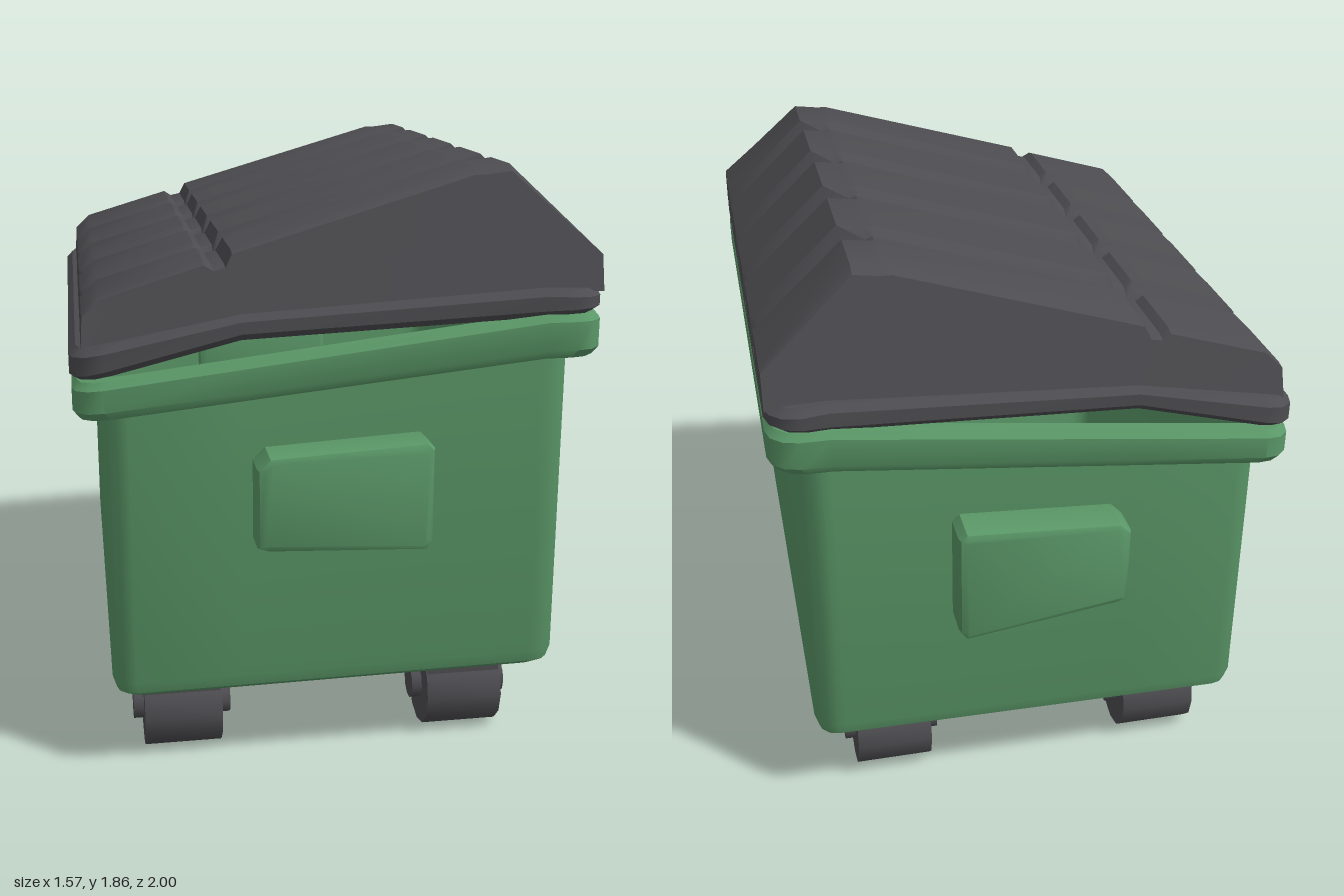
import * as THREE from 'three';
import { toCreasedNormals } from 'three/addons/utils/BufferGeometryUtils.js';

const green = new THREE.MeshStandardMaterial({ color: 0x5a9767, side: THREE.DoubleSide });
green.name = 'green paint';
const charcoal = new THREE.MeshStandardMaterial({ color: 0x4d4c50, side: THREE.DoubleSide });
charcoal.name = 'charcoal plastic';

function add(parent, name, geometry, material, x = 0, y = 0, z = 0) {
  const mesh = new THREE.Mesh(geometry, material);
  mesh.name = name;
  mesh.position.set(x, y, z);
  parent.add(mesh);
  return mesh;
}

// Piecewise linear height along x
function along(points) {
  return x => {
    let i = 1;
    while (i < points.length - 1 && x > points[i][0]) i++;
    const [ax, ay] = points[i - 1], [bx, by] = points[i];
    return ay + (by - ay) * THREE.MathUtils.clamp((x - ax) / (bx - ax), 0, 1);
  };
}

// Skin joining successive rows of [x, y, z] points
function loft(rows, closed, crease = 0.6) {
  const n = rows[0].length, index = [];
  for (let j = 0; j < rows.length - 1; j++) {
    for (let i = 0; i < (closed ? n : n - 1); i++) {
      const k = (i + 1) % n;
      const a = j * n + i, b = j * n + k, c = a + n, d = b + n;
      index.push(a, c, b, b, c, d);
    }
  }
  const g = new THREE.BufferGeometry();
  g.setAttribute('position', new THREE.Float32BufferAttribute(rows.flat(2), 3));
  g.setIndex(index);
  return toCreasedNormals(g, crease);
}

// Rounded rectangle in plan, with extra points where the long sides bend
function plan(x0, x1, hz, r) {
  const pts = [], bends = [-0.3, 0.6];
  const corner = (cx, cz, start) => {
    for (let i = 0; i <= 3; i++) {
      const a = start + i * Math.PI / 6;
      pts.push([cx + r * Math.cos(a), cz + r * Math.sin(a)]);
    }
  };
  corner(x1 - r, hz - r, 0);
  [...bends].reverse().forEach(x => pts.push([x, hz]));
  corner(x0 + r, hz - r, Math.PI / 2);
  corner(x0 + r, r - hz, Math.PI);
  bends.forEach(x => pts.push([x, -hz]));
  corner(x1 - r, r - hz, Math.PI * 1.5);
  return pts;
}

const rimTop = along([[-0.78, 1.27], [0.6, 1.43], [0.78, 1.43]]);
const rimBottom = along([[-0.78, 1.16], [0.6, 1.3], [0.78, 1.3]]);
const lidTop = along([[-0.79, 1.365], [-0.3, 1.455], [0.6, 1.505], [0.78, 1.5]]);
const lidBottom = along([[-0.79, 1.27], [-0.3, 1.38], [0.78, 1.43]]);

function buildBody(group) {
  const ring = (inset, r, height) =>
    plan(-0.7 + inset, 0.695 - inset, 0.88 - inset, r).map(([x, z]) => [x, height(x), z]);
  const floor = x => 0.27 + 0.012 * x;
  const bottom = ring(0.04, 0.05, floor);
  add(group, 'body', loft([
    bottom.map(() => [0, 0.27, 0]), bottom,
    ring(0.012, 0.06, x => floor(x) + 0.02),
    ring(0, 0.07, x => floor(x) + 0.06),
    ring(0, 0.07, x => rimBottom(x) + 0.05),
  ], true), green);

  // Overhanging rim
  const lip = (inset, height) =>
    plan(-0.785 + inset, 0.78 - inset, 0.94 - inset, 0.09).map(([x, z]) => [x, height(x), z]);
  add(group, 'rim', loft([
    lip(0.08, rimBottom), lip(0.015, rimBottom), lip(0, x => rimBottom(x) + 0.025),
    lip(0, x => rimTop(x) - 0.02), lip(0.015, rimTop), lip(0.06, rimTop),
    lip(0.075, x => rimTop(x) - 0.06),
  ], true), green);
}

function buildLid(group) {
  const lid = new THREE.Group();
  lid.name = 'lid';
  group.add(lid);

  // Edge band, drawn in slightly along the sides
  const pinch = along([[-0.72, 1], [-0.3, 0.965], [0.6, 0.985], [0.7, 1]]);
  const edge = (inset, height) =>
    plan(-0.79 + inset, 0.78 - inset, 0.94 - inset, 0.1).map(([x, z]) => [x, height(x), z * pinch(x)]);
  add(lid, 'lidEdge', loft([
    edge(0.02, lidBottom), edge(0, x => lidBottom(x) + 0.02), edge(0, x => lidTop(x) - 0.02),
    edge(0.02, lidTop), edge(0.08, lidTop),
  ], true), charcoal);

  // Ribbed shell: side profiles on a rib and in a groove
  const rib = [[-0.755, 1.37], [-0.75, 1.46], [-0.7, 1.51], [-0.4, 1.6], [-0.375, 1.583],
    [-0.34, 1.59], [-0.32, 1.63], [0.4, 1.845], [0.43, 1.845], [0.51, 1.855], [0.78, 1.6], [0.78, 1.49]];
  const groove = [[-0.74, 1.37], [-0.72, 1.44], [-0.685, 1.475], [-0.4, 1.565], [-0.375, 1.56],
    [-0.34, 1.57], [-0.32, 1.595], [0.39, 1.82], [0.41, 1.825], [0.43, 1.815], [0.73, 1.54], [0.745, 1.49]];
  const rows = [];
  const end = (f, back, side) => rows.push(rib.map(([x, y]) => {
    const base = lidTop(x) - 0.01;
    const h = Math.max(0, y - base) * f;
    return [x * (1 - 0.03 * (1 - f)), base + h, side * (0.89 - 0.25 * h - back)];
  }));
  const row = (profile, z) => rows.push(profile.map(([x, y]) => [x, y, z]));

  [[0, 0], [0.5, 0], [0.95, 0], [1, 0.03]].forEach(([f, back]) => end(f, back, -1));
  for (let i = -2; i <= 2; i++) {
    const c = i * 0.352;
    if (i > -2) row(rib, c - 0.118);
    if (i < 2) {
      row(rib, c + 0.118);
      row(groove, c + 0.15);
      row(groove, c + 0.202);
    }
  }
  [[1, 0.03], [0.95, 0], [0.5, 0], [0, 0]].forEach(([f, back]) => end(f, back, 1));
  add(lid, 'ribbedShell', loft(rows, false, 0.55), charcoal);
}

// Tapered lifting pocket on each end
function buildPockets(group) {
  for (const side of [1, -1]) {
    const low = side > 0 ? 0.745 : 0.7, b = 0.02;
    const shape = new THREE.Shape([[-0.25, 0.79], [-0.235, 0.785], [0.225, low + b], [0.235, low + 0.035],
      [0.235, 1.05], [0.225, 1.06], [-0.225, 1.035], [-0.25, 1.01]].map(p => new THREE.Vector2(...p)));
    const g = new THREE.ExtrudeGeometry(shape, {
      depth: 0.11, bevelEnabled: true, bevelThickness: 0.025, bevelSize: b, bevelSegments: 2,
    });
    g.translate(0, 0, side > 0 ? 0.865 : -0.975);
    add(group, side > 0 ? 'frontPocket' : 'backPocket', toCreasedNormals(g, 0.6), green);
  }
}

function buildCasters(group) {
  const wheel = toCreasedNormals(new THREE.CylinderGeometry(0.135, 0.135, 0.245, 12).rotateZ(Math.PI / 2), 0.7);
  const hub = toCreasedNormals(new THREE.CylinderGeometry(0.055, 0.055, 0.31, 10).rotateZ(Math.PI / 2), 0.7);
  for (const x of [-0.48, 0.432]) {
    for (const z of [-0.64, 0.64]) {
      const caster = new THREE.Group();
      caster.name = 'caster';
      caster.position.set(x, 0, z);
      group.add(caster);
      add(caster, 'wheel', wheel, charcoal, 0, 0.135, 0);
      add(caster, 'hub', hub, charcoal, 0, 0.14, 0);
      add(caster, 'mount', new THREE.BoxGeometry(0.235, 0.1, 0.215), charcoal, 0, 0.23, 0);
    }
  }
}

export function createModel() {
  const group = new THREE.Group();
  group.name = 'wheeledWasteContainer';
  buildBody(group);
  buildLid(group);
  buildPockets(group);
  buildCasters(group);
  return group;
}
